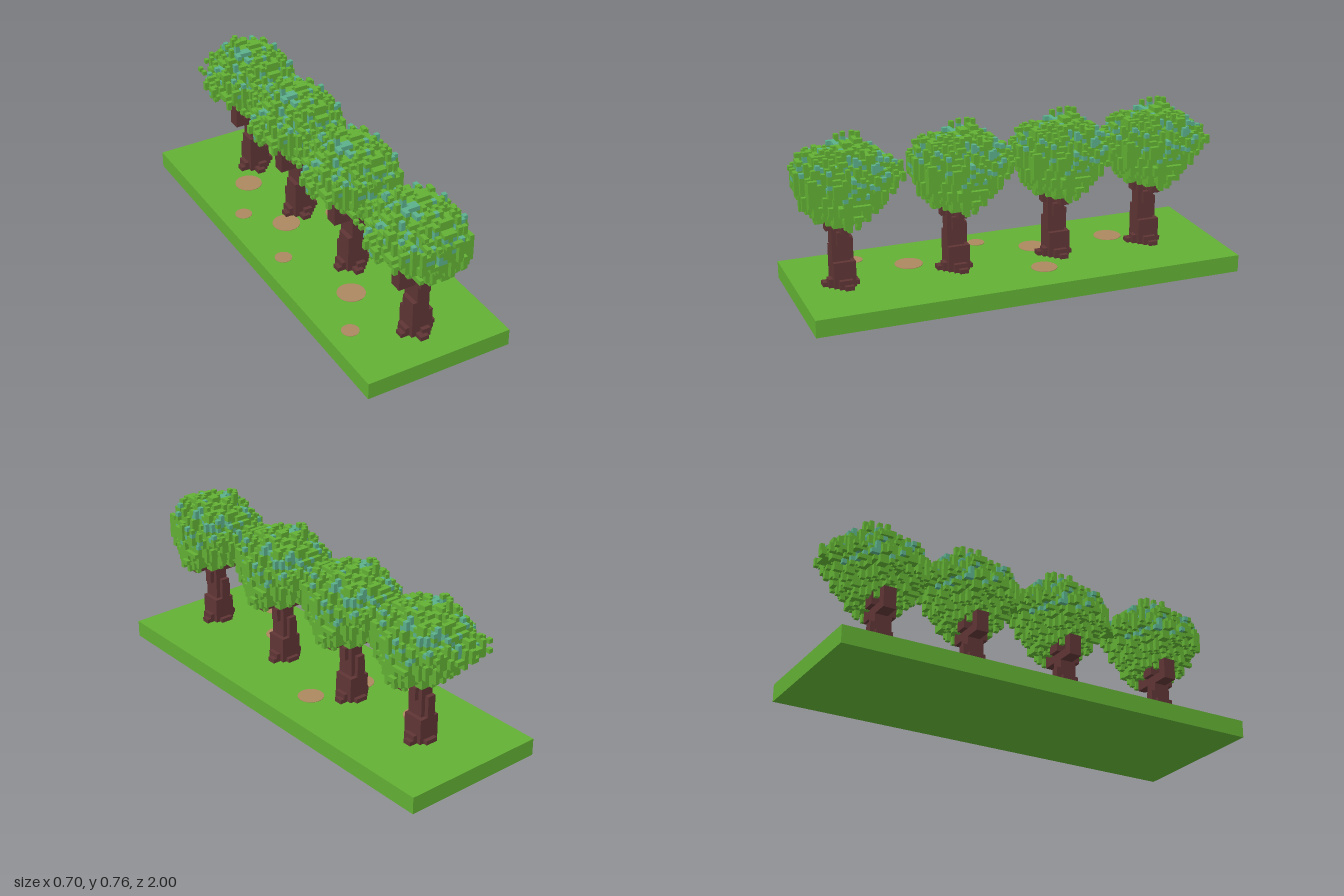
import * as THREE from 'three';

const V = 0.02; // voxel size
const mat = (name, color) => {
  const m = new THREE.MeshStandardMaterial({ color });
  m.name = name;
  return m;
};

// Repeatable value in 0..1 for an integer cell
function hash(x, y, z) {
  let h = Math.imul(x + 101, 374761393) ^ Math.imul(y + 57, 668265263) ^ Math.imul(z + 211, 2147483647);
  h = Math.imul(h ^ (h >>> 13), 1274126177);
  h = Math.imul(h ^ (h >>> 16), 2246822519);
  return ((h ^ (h >>> 15)) >>> 0) / 4294967296;
}

// Outward faces of voxels that pass the filter and are not covered by a neighbour
function voxelGeometry(cells, keep) {
  const pos = [];
  for (const [key, colour] of cells) {
    if (colour !== keep) continue;
    const c = key.split(',').map(Number);
    for (let a = 0; a < 3; a++) for (const s of [0, 1]) {
      const n = [...c];
      n[a] += s ? 1 : -1;
      if (cells.has(n.join())) continue;
      const u = (a + 1) % 3, w = (a + 2) % 3;
      const corner = (i, j) => {
        const p = [...c];
        p[a] += s; p[u] += i; p[w] += j;
        return p.map(v => v * V);
      };
      const q = [corner(0, 0), corner(1, 0), corner(1, 1), corner(0, 1)];
      if (!s) q.reverse();
      for (const i of [0, 1, 2, 0, 2, 3]) pos.push(...q[i]);
    }
  }
  const g = new THREE.BufferGeometry();
  g.setAttribute('position', new THREE.Float32BufferAttribute(pos, 3));
  g.computeVertexNormals();
  return g;
}

// Crown layers from the bottom up: x min, x max, z min, z max in voxels
const LAYERS = [
  [6, 9, -3, 2], [-5, 10, -7, 6], [-5, 10, -8, 7], [-6, 11, -9, 8], [-6, 11, -10, 9],
  [-7, 11, -11, 9], [-10, 10, -12, 10], [-10, 10, -12, 10], [-11, 10, -13, 10], [-11, 10, -15, 10],
  [-10, 10, -16, 10], [-8, 10, -15, 10], [-8, 9, -13, 10], [-6, 9, -11, 9], [-7, 8, -10, 9],
  [-6, 8, -9, 7], [-5, 6, -8, 5], [-5, 4, -7, 0], [-3, 0, -6, -2],
];
const BASE = 19; // voxel row of the lowest leaves

// Distance from the heart of a layer, 1 at its rim; the -z side narrows to a point
function rim(layer, x, z) {
  const [x0, x1, z0, z1] = layer;
  const cx = Math.min(Math.max(1, x0 + 1.5), x1 - 1.5);
  const cz = Math.min(Math.max(-2, z0 + 2), z1 - 2);
  const dx = x + 0.5 - cx, dz = z + 0.5 - cz;
  const u = Math.abs(dx) / (dx < 0 ? cx - x0 : x1 - cx);
  const v = Math.abs(dz) / (dz < 0 ? cz - z0 : z1 - cz);
  return u > 1 || v > 1 ? 9 : Math.sqrt(u ** 2.2 + v ** (dz < 0 ? 1.6 : 2.2));
}

function crownCells() {
  const cells = new Map();
  for (let i = 0; i < LAYERS.length; i++)
    for (let x = -11; x < 11; x++) for (let z = -16; z < 10; z++) {
      // ragged columns above and below, ragged rim at the sides
      const drop = Math.floor(hash(x, 3, z) * 2.7);
      const j = i > 8 ? i + drop : i - drop;
      if (j < 0 || j >= LAYERS.length) continue;
      const limit = 1.08 - 0.27 * hash(x, i >> 2, z);
      if (rim(LAYERS[i], x, z) > limit || rim(LAYERS[j], x, z) > limit) continue;
      const patch = 0.65 * hash(x >> 1, i >> 1, z >> 1) + 0.35 * hash(x, i, z);
      const teal = i > 6 && patch < 0.2 + 0.012 * (i - 6);
      cells.set([x, i + BASE, z].join(), teal ? 'teal' : 'green');
    }
  return cells;
}

// Trunk blocks: x0, x1, y0, y1, z0, z1 in voxels
const TRUNK = [
  [-2, 3, 4, 10, -3, 2], [-2, 2, 10, 13, -2, 2], [-1, 2, 13, 24, -2, 2],
  [2, 3, 14, 17, -1, 1], [-1, 1, 10, 15, -3, -2],
  // roots
  [-4, -2, 4, 5, -1, 1], [-3, -2, 4, 6, -2, 1], [3, 5, 4, 5, -2, 0], [3, 4, 4, 6, -2, 1],
  [-1, 1, 4, 5, 2, 4], [0, 2, 4, 6, 2, 3], [-1, 2, 4, 5, -4, -3],
  // branches
  [-5, -1, 17, 19, -2, 1], [-5, -3, 19, 22, -2, 1], [2, 7, 18, 21, -1, 1],
  [-1, 2, 19, 23, -3, 2], [-1, 1, 17, 20, 2, 3],
];

function trunkCells() {
  const cells = new Map();
  for (const [x0, x1, y0, y1, z0, z1] of TRUNK)
    for (let x = x0; x < x1; x++) for (let y = y0; y < y1; y++) for (let z = z0; z < z1; z++)
      cells.set([x, y, z].join(), 'bark');
  return cells;
}

export function createModel() {
  const model = new THREE.Group();
  const grass = mat('grassGreen', 0x62b034);
  const teal = mat('tealLeaf', 0x5bb08c);
  const bark = mat('barkBrown', 0x5f3535);
  const soil = mat('soilTan', 0xac8860);
  const add = (parent, name, geometry, material) => {
    const mesh = new THREE.Mesh(geometry, material);
    mesh.name = name;
    parent.add(mesh);
    return mesh;
  };

  // Ground slab
  add(model, 'ground', new THREE.BoxGeometry(0.7, 0.08, 2), grass).position.y = 0.04;

  // Bare soil patches: x, z, radius
  const patches = [
    [-0.1, -0.54, 0.065], [-0.1, -0.155, 0.065], [-0.105, 0.45, 0.065], [0.155, -0.11, 0.06],
    [-0.24, -0.32, 0.04], [-0.24, 0.075, 0.04], [-0.24, 0.67, 0.04],
  ];
  for (const [x, z, r] of patches)
    add(model, 'soilPatch', new THREE.CylinderGeometry(r, r, 0.004, 20), soil).position.set(x, 0.08, z);

  // Row of four matching trees
  const crown = crownCells();
  const leafGeometry = voxelGeometry(crown, 'green');
  const tealGeometry = voxelGeometry(crown, 'teal');
  const trunkGeometry = voxelGeometry(trunkCells(), 'bark');
  for (const z of [0.8, 0.272, -0.214, -0.668]) {
    const tree = new THREE.Group();
    tree.name = 'tree';
    tree.position.z = z;
    add(tree, 'trunk', trunkGeometry, bark);
    add(tree, 'greenLeaves', leafGeometry, grass);
    add(tree, 'tealLeaves', tealGeometry, teal);
    model.add(tree);
  }
  return model;
}
